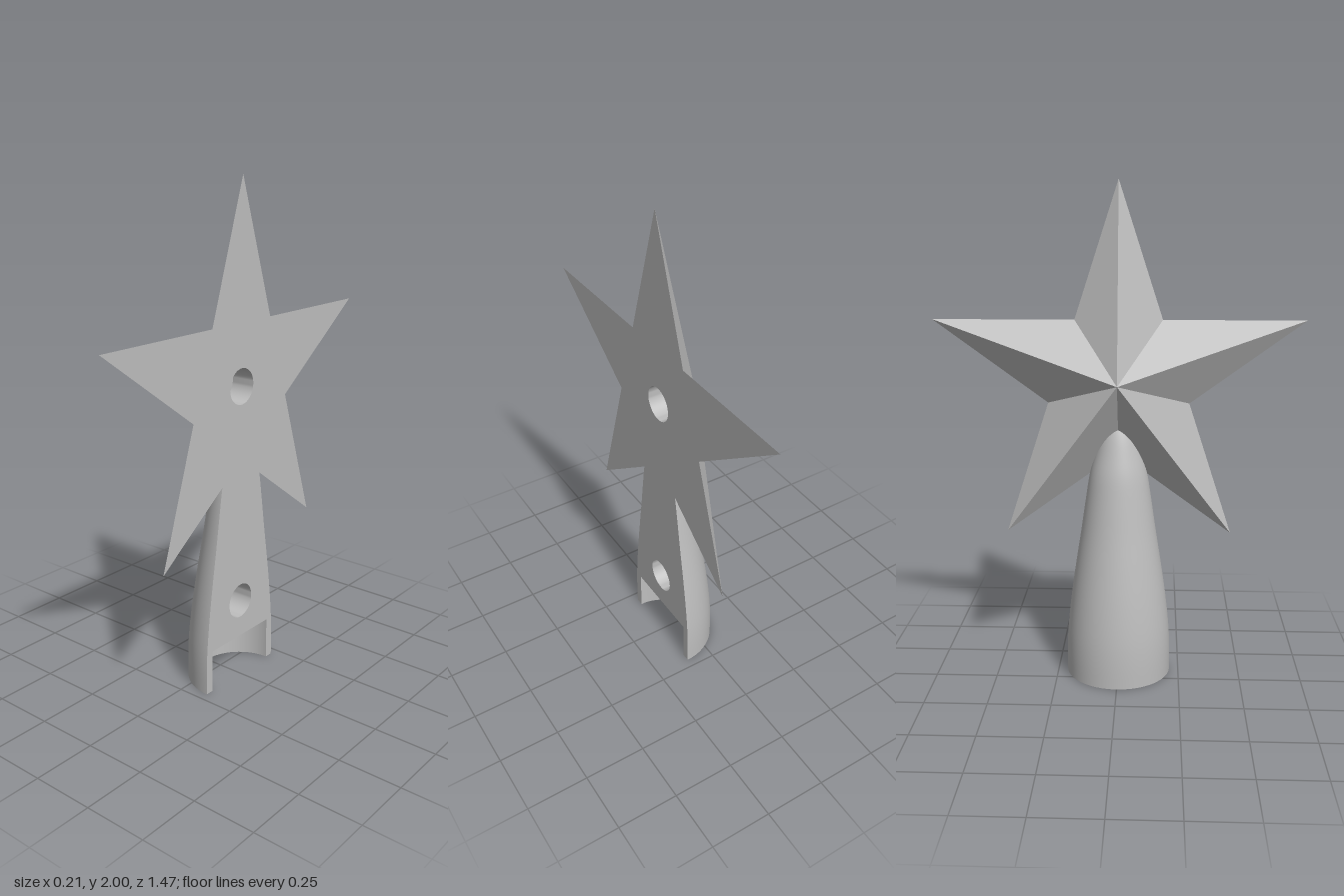
import * as THREE from 'three';
import { toCreasedNormals } from 'three/addons/utils/BufferGeometryUtils.js';

const FLAT_X = 0.105;      // plane of the flat face
const STAR_Y = 1.225;      // star centre height
const SOCKET_R = 0.178, SOCKET_H = 0.175;
const HOLE_R = 0.071, HOLE_Y = [0.33, 1.22];

// half-cone radius by height
const PROFILE = [
  [0.213, 0], [0.213, 0.1], [0.208, 0.2], [0.194, 0.33], [0.174, 0.47], [0.152, 0.61],
  [0.133, 0.74], [0.116, 0.846], [0.094, 0.93], [0.073, 1.0], [0.052, 1.05], [0.028, 1.085], [0, 1.1],
];

export function createModel() {
  const group = new THREE.Group();
  const grey = new THREE.MeshStandardMaterial({ color: 0xbebebe });
  grey.name = 'plain grey';

  function add(name, geometry, x = FLAT_X, y = 0) {
    const mesh = new THREE.Mesh(geometry, grey);
    mesh.name = name;
    mesh.position.set(x, y, 0);
    group.add(mesh);
  }

  // star corners, alternating tip and notch, starting at the top tip
  const star = [];
  for (let i = 0; i < 10; i++) {
    const a = Math.PI / 2 + i * Math.PI / 5;
    const r = i % 2 ? 0.296 : 0.775;
    star.push(new THREE.Vector2(r * Math.cos(a), STAR_Y + r * Math.sin(a)));
  }

  // faceted star pyramid, its apex pointing to -x
  const positions = [];
  star.forEach((p, i) => {
    const q = star[(i + 1) % 10];
    positions.push(-0.165, STAR_Y, 0, 0, q.y, -q.x, 0, p.y, -p.x);
  });
  const pyramid = new THREE.BufferGeometry();
  pyramid.setAttribute('position', new THREE.Float32BufferAttribute(positions, 3));
  pyramid.computeVertexNormals();
  add('starFacets', pyramid);

  // tapered half-round handle
  const curve = new THREE.SplineCurve(PROFILE.map(([r, y]) => new THREE.Vector2(r, y)));
  const points = curve.getPoints(48);
  points.forEach(p => { p.x = Math.max(p.x, 0); });
  add('handle', new THREE.LatheGeometry(points, 40, Math.PI, Math.PI));

  // flat face: outline of star and handle together, with socket notch and holes
  const side = points.filter(p => p.y < 0.845);
  side.push(new THREE.Vector2(0.116, 0.846));
  const outline = [
    new THREE.Vector2(SOCKET_R, 0),
    ...side,
    ...[6, 7, 8, 9, 0, 1, 2, 3, 4].map(i => star[i]),
    ...side.map(p => new THREE.Vector2(-p.x, p.y)).reverse(),
    new THREE.Vector2(-SOCKET_R, 0),
    new THREE.Vector2(-SOCKET_R, SOCKET_H),
    new THREE.Vector2(SOCKET_R, SOCKET_H),
  ];
  const face = new THREE.Shape(outline);
  for (const y of HOLE_Y) {
    face.holes.push(new THREE.Path().absarc(0, y, HOLE_R, 0, Math.PI * 2, true));
  }
  add('flatFace', new THREE.ShapeGeometry(face, 24).rotateY(Math.PI / 2));

  // blind round holes
  HOLE_Y.forEach((y, i) => {
    const section = [[HOLE_R, 0], [HOLE_R, -0.1], [0, -0.1]].map(p => new THREE.Vector2(...p));
    const hole = new THREE.LatheGeometry(section, 48).rotateZ(-Math.PI / 2);
    add(i ? 'upperHole' : 'lowerHole', toCreasedNormals(hole, 0.6), FLAT_X, y);
  });

  // half-round socket in the base: wall, ceiling and rim
  const wall = [new THREE.Vector2(SOCKET_R, SOCKET_H), new THREE.Vector2(SOCKET_R, 0)];
  add('socketWall', new THREE.LatheGeometry(wall, 40, Math.PI, Math.PI));
  add('socketCeiling',
    new THREE.CircleGeometry(SOCKET_R, 40, Math.PI / 2, Math.PI).rotateX(Math.PI / 2), FLAT_X, SOCKET_H);
  add('baseRim',
    new THREE.RingGeometry(SOCKET_R, PROFILE[0][0], 40, 1, Math.PI / 2, Math.PI).rotateX(Math.PI / 2));

  return group;
}
